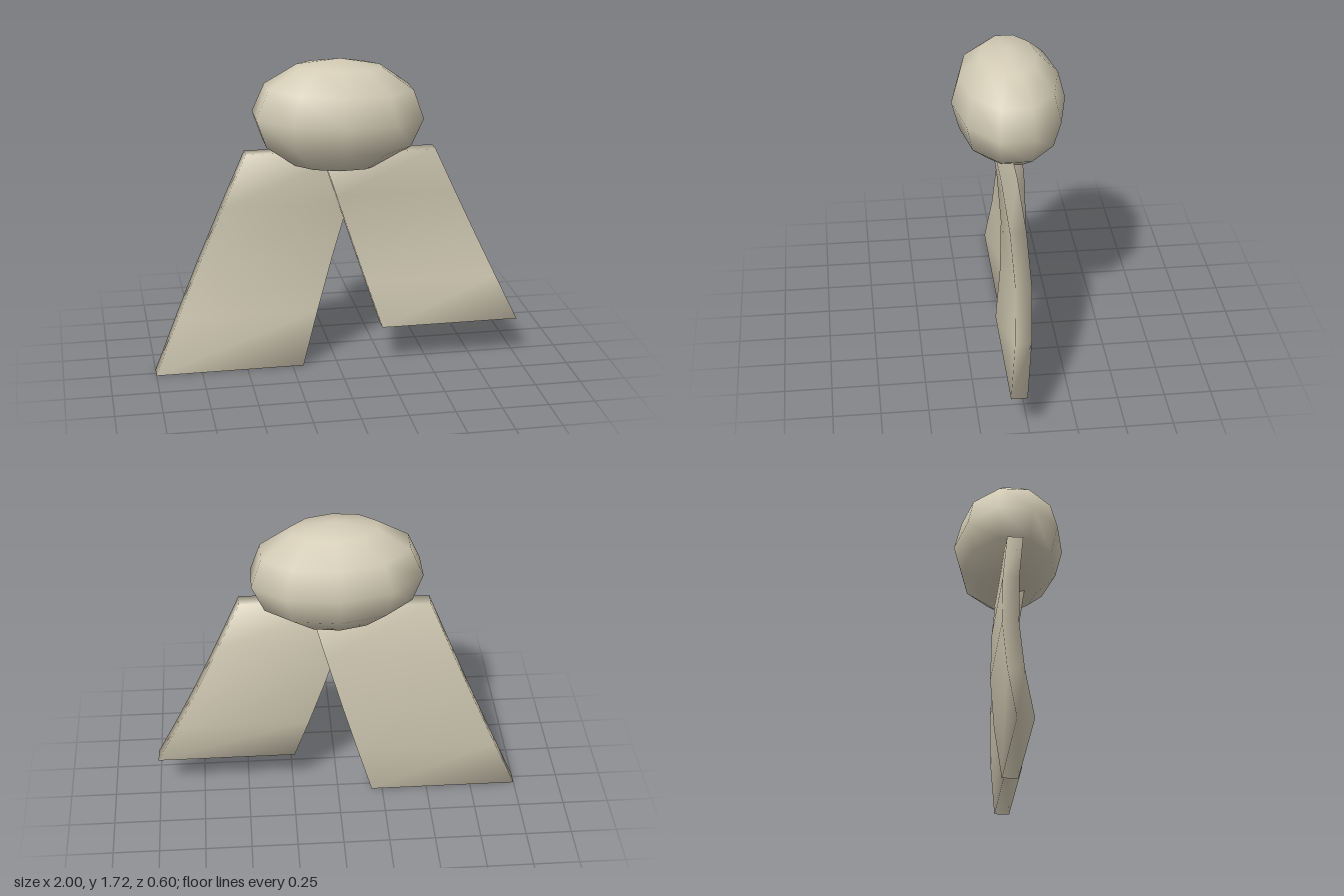
import * as THREE from 'three';
import { mergeVertices } from 'three/addons/utils/BufferGeometryUtils.js';

const cloth = new THREE.MeshStandardMaterial({ color: 0xd3cbb5 });
cloth.name = 'beigeCloth';

// Flaring ribbon tail: a box tapered between two edges and bowed backwards.
// top and bottom are [xMin, xMax, y]; z is the middle of the thickness at both ends.
function tail(name, top, bottom, z) {
  const thickness = 0.085, bow = 0.048;
  let geo = new THREE.BoxGeometry(1, 1, thickness, 1, 4, 1);
  const p = geo.attributes.position;
  for (let i = 0; i < p.count; i++) {
    const u = p.getX(i) + 0.5, t = p.getY(i) + 0.5;
    const x0 = THREE.MathUtils.lerp(bottom[0], top[0], t);
    const x1 = THREE.MathUtils.lerp(bottom[1], top[1], t);
    p.setXYZ(i,
      THREE.MathUtils.lerp(x0, x1, u),
      THREE.MathUtils.lerp(bottom[2], top[2], t),
      p.getZ(i) + z - bow * Math.sin(Math.PI * t));
  }
  // Shared corners give soft shading over the edges
  geo.deleteAttribute('uv');
  geo.deleteAttribute('normal');
  geo = mergeVertices(geo);
  geo.computeVertexNormals();
  const mesh = new THREE.Mesh(geo, cloth);
  mesh.name = name;
  return mesh;
}

export function createModel() {
  const model = new THREE.Group();
  model.name = 'ribbonKnot';

  // Knot: low-poly ellipsoid with a slight tilt
  const knotGeo = new THREE.SphereGeometry(1, 10, 6);
  knotGeo.rotateY(Math.PI / 2);
  knotGeo.scale(0.47, 0.307, 0.3);
  const knot = new THREE.Mesh(knotGeo, cloth);
  knot.name = 'knot';
  knot.position.set(0.007, 1.416, 0);
  knot.rotation.z = -0.04;
  model.add(knot);

  // Long tail on the right, shorter tail in front on the left
  model.add(tail('rightTail', [-0.49, 0.15, 1.23], [-1, -0.19, 0], -0.008));
  model.add(tail('leftTail', [-0.09, 0.52, 1.23], [0.24, 1, 0.22], 0.053));
  return model;
}
